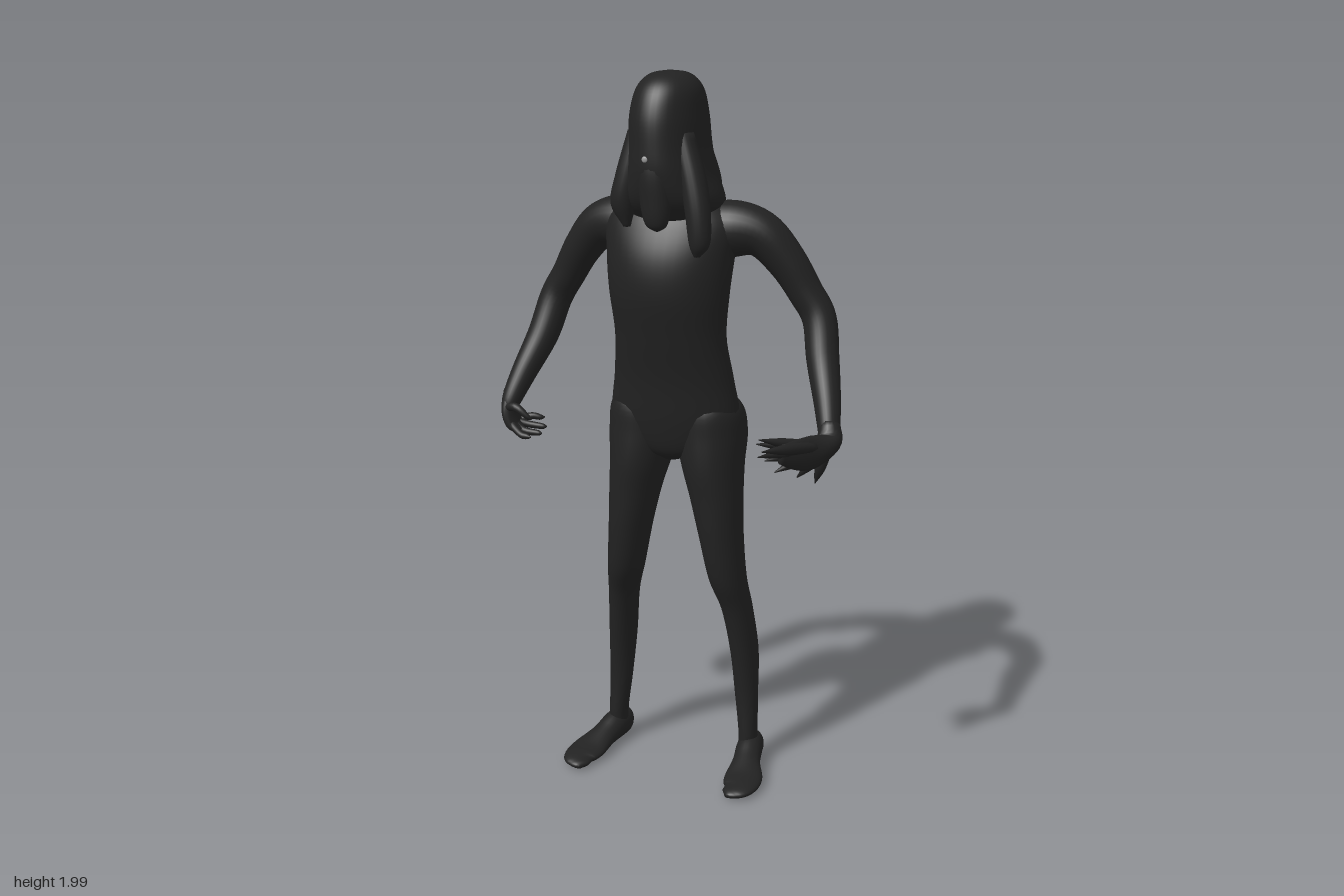
import * as THREE from 'three';

// Smooth closed loft through sections [x, y, z, radiusU, radiusV].
// With no ref the rings stay horizontal; otherwise they follow the path.
function loft(sections, ref = null, steps = 36, sides = 28) {
  const path = new THREE.CatmullRomCurve3(sections.map(s => new THREE.Vector3(s[0], s[1], s[2])), false, 'catmullrom', 0.5);
  const radii = new THREE.CatmullRomCurve3(sections.map(s => new THREE.Vector3(s[3], s[4] ?? s[3], 0)), false, 'catmullrom', 0.5);
  const pos = [], idx = [];
  const dir = Math.sign(sections[sections.length - 1][1] - sections[0][1]);
  for (let i = 0; i <= steps; i++) {
    const c = path.getPoint(i / steps), r = radii.getPoint(i / steps);
    const T = ref ? path.getTangent(i / steps) : new THREE.Vector3(0, dir, 0);
    const U = ref ? new THREE.Vector3().crossVectors(ref, T).normalize() : new THREE.Vector3(1, 0, 0);
    const V = new THREE.Vector3().crossVectors(T, U);
    for (let j = 0; j < sides; j++) {
      const a = j / sides * Math.PI * 2;
      const p = c.clone().addScaledVector(U, Math.cos(a) * Math.max(r.x, 0.001)).addScaledVector(V, Math.sin(a) * Math.max(r.y, 0.001));
      pos.push(p.x, p.y, p.z);
    }
  }
  for (let i = 0; i < steps; i++) for (let j = 0; j < sides; j++) {
    const k = (j + 1) % sides, a = i * sides + j, b = i * sides + k, c = b + sides, d = a + sides;
    idx.push(a, b, c, a, c, d);
  }
  // end caps
  const n = pos.length / 3, s0 = path.getPoint(0), s1 = path.getPoint(1), last = steps * sides;
  pos.push(s0.x, s0.y, s0.z, s1.x, s1.y, s1.z);
  for (let j = 0; j < sides; j++) {
    const k = (j + 1) % sides;
    idx.push(n, k, j, n + 1, last + j, last + k);
  }
  const g = new THREE.BufferGeometry();
  g.setAttribute('position', new THREE.Float32BufferAttribute(pos, 3));
  g.setIndex(idx);
  g.computeVertexNormals();
  return g;
}

export function createModel() {
  const model = new THREE.Group();
  const dark = new THREE.MeshStandardMaterial({ color: 0x222222 });
  dark.name = 'charcoal';
  const pale = new THREE.MeshStandardMaterial({ color: 0x999999 });
  pale.name = 'paleGrey';
  const Y = new THREE.Vector3(0, 1, 0), Z = new THREE.Vector3(0, 0, 1);
  const add = (name, geo, mat = dark) => {
    const m = new THREE.Mesh(geo, mat);
    m.name = name;
    model.add(m);
    return m;
  };

  // Torso from hips to neck
  add('torso', loft([
    [-0.01, 0.945, -0.11, 0.03, 0.05],
    [-0.01, 0.98, -0.115, 0.14, 0.085],
    [-0.01, 1.06, -0.11, 0.185, 0.10],
    [-0.008, 1.18, -0.09, 0.172, 0.097],
    [-0.008, 1.3, -0.065, 0.158, 0.10],
    [-0.01, 1.42, -0.06, 0.168, 0.12],
    [-0.01, 1.52, -0.07, 0.178, 0.125],
    [-0.01, 1.61, -0.09, 0.185, 0.11],
    [-0.01, 1.67, -0.10, 0.13, 0.08],
    [-0.01, 1.72, -0.09, 0.06, 0.06],
    [-0.01, 1.8, -0.07, 0.055, 0.06],
  ], null, 60, 40));

  for (const s of [-1, 1]) {
    const side = s > 0 ? 'left' : 'right', o = -0.01;

    // Leg with buttock, knee and calf
    add(side + 'Leg', loft([
      [o + s * 0.085, 1.15, -0.105, 0.04, 0.04],
      [o + s * 0.095, 1.1, -0.12, 0.09, 0.095],
      [o + s * 0.1, 1.02, -0.13, 0.098, 0.112],
      [o + s * 0.108, 0.93, -0.12, 0.086, 0.105],
      [o + s * 0.122, 0.84, -0.112, 0.073, 0.09],
      [o + s * 0.137, 0.73, -0.11, 0.061, 0.08],
      [o + s * 0.155, 0.6, -0.118, 0.052, 0.068],
      [o + s * 0.175, 0.5, -0.145, 0.043, 0.057],
      [o + s * 0.19, 0.36, -0.172, 0.039, 0.054],
      [o + s * 0.198, 0.22, -0.174, 0.033, 0.038],
      [o + s * 0.206, 0.1, -0.17, 0.027, 0.035],
      [o + s * 0.207, 0.03, -0.175, 0.03, 0.04],
    ], null, 60));

    // Splayed foot
    add(side + 'Foot', loft([
      [o + s * 0.205, 0.045, -0.23, 0.012, 0.015],
      [o + s * 0.207, 0.05, -0.21, 0.033, 0.04],
      [o + s * 0.214, 0.052, -0.16, 0.038, 0.044],
      [o + s * 0.226, 0.041, -0.1, 0.04, 0.033],
      [o + s * 0.242, 0.029, -0.03, 0.054, 0.022],
      [o + s * 0.248, 0.025, 0.025, 0.048, 0.017],
      [o + s * 0.235, 0.022, 0.06, 0.03, 0.012],
      [o + s * 0.228, 0.02, 0.076, 0.008, 0.006],
    ], Y));

    // Bent arm
    add(side + 'Arm', loft([
      [s * 0.07, 1.57, -0.105, 0.075],
      [s * 0.15, 1.59, -0.11, 0.076],
      [s * 0.23, 1.578, -0.118, 0.062],
      [s * 0.295, 1.51, -0.132, 0.053],
      [s * 0.345, 1.43, -0.143, 0.047],
      [s * 0.386, 1.36, -0.143, 0.046],
      [s * 0.41, 1.26, -0.105, 0.044],
      [s * 0.443, 1.16, -0.045, 0.036],
      [s * 0.462, 1.09, -0.002, 0.028],
      [s * 0.463, 1.06, 0.012, 0.02],
    ], Z, 50));
  }

  // Right hand: palm, four curled fingers and thumb
  add('rightPalm', loft([
    [-0.464, 1.11, -0.012, 0.026],
    [-0.468, 1.06, 0, 0.021, 0.036],
    [-0.455, 1.02, 0, 0.018, 0.04],
    [-0.43, 1.005, -0.003, 0.01, 0.034],
  ], Z, 16, 20));
  [[-0.385, 1.03, -0.05], [-0.366, 1.012, -0.022], [-0.366, 1, 0.01], [-0.386, 0.995, 0.04]].forEach((t, i) => {
    const z = -0.028 + i * 0.018;
    add('rightFinger', loft([
      [-0.452, 1.022, z, 0.011],
      [-0.42, t[1] + 0.003, (z + t[2]) / 2, 0.01],
      [t[0] - 0.012, t[1], t[2] * 0.9, 0.008],
      [...t, 0.002],
    ], Y, 12, 10));
  });
  add('rightThumb', loft([
    [-0.465, 1.07, 0.02, 0.012],
    [-0.43, 1.075, 0.035, 0.012],
    [-0.4, 1.055, 0.036, 0.008],
    [-0.385, 1.045, 0.034, 0.002],
  ], Y, 12, 10));

  // Left hand: palm and a fan of long ragged fingers
  add('leftPalm', loft([
    [0.462, 1.11, -0.01, 0.028],
    [0.468, 1.07, 0.02, 0.034, 0.03],
    [0.44, 1.055, 0.07, 0.022, 0.046],
    [0.41, 1.06, 0.12, 0.016, 0.04],
    [0.385, 1.07, 0.165, 0.008, 0.025],
  ], Y, 20, 20));
  const tips = [
    [0.36, 1.095, 0.24], [0.345, 1.075, 0.225], [0.335, 1.11, 0.19], [0.32, 1.09, 0.165],
    [0.335, 1.04, 0.14], [0.345, 0.995, 0.09], [0.36, 1.02, 0.06], [0.385, 0.965, 0.02],
    [0.43, 0.95, 0.005],
  ];
  tips.forEach((t, i) => {
    const f = i / (tips.length - 1);
    const root = [0.445 + 0.015 * f, 1.07 - 0.025 * f, 0.07 - 0.055 * f];
    const mid = root.map((v, k) => v * 0.45 + t[k] * 0.55);
    add('leftFinger', loft([[...root, 0.017], [...mid, 0.014], [...t, 0.0015]], Y, 12, 10));
  });

  // Long hair covering the head and face
  add('hair', loft([
    [-0.01, 2.0, -0.065, 0.004, 0.004],
    [-0.01, 1.99, -0.065, 0.052, 0.066],
    [-0.01, 1.955, -0.064, 0.084, 0.11],
    [-0.012, 1.89, -0.067, 0.098, 0.139],
    [-0.01, 1.81, -0.068, 0.104, 0.147],
    [-0.008, 1.74, -0.068, 0.118, 0.145],
    [-0.006, 1.67, -0.078, 0.14, 0.135],
    [-0.006, 1.62, -0.095, 0.12, 0.11],
    [-0.006, 1.58, -0.1, 0.06, 0.06],
  ], null, 48, 40));

  // Hanging locks: name, then sections
  const locks = [
    ['frontLock', [[-0.01, 1.86, 0.03, 0.03], [-0.01, 1.76, 0.045, 0.045, 0.034], [-0.006, 1.67, 0.045, 0.042, 0.03], [-0.004, 1.615, 0.045, 0.03, 0.022], [-0.002, 1.597, 0.045, 0.006]]],
    ['leftLock', [[0.05, 1.85, 0.0, 0.03], [0.085, 1.74, 0.015, 0.035], [0.105, 1.65, 0.03, 0.034, 0.03], [0.112, 1.57, 0.035, 0.028, 0.024], [0.105, 1.535, 0.035, 0.008]]],
    ['rightLock', [[-0.07, 1.85, 0.0, 0.03], [-0.095, 1.74, 0.01, 0.035], [-0.11, 1.66, 0.015, 0.034, 0.03], [-0.1, 1.6, 0.015, 0.01]]],
    ['backLock', [[-0.06, 1.8, -0.16, 0.03], [-0.065, 1.7, -0.172, 0.045, 0.04], [-0.06, 1.61, -0.175, 0.04, 0.035], [-0.05, 1.53, -0.165, 0.01]]],
    ['backLock', [[0.04, 1.8, -0.16, 0.03], [0.05, 1.7, -0.172, 0.045, 0.04], [0.045, 1.61, -0.175, 0.04, 0.035], [0.035, 1.53, -0.165, 0.01]]],
  ];
  for (const [name, sections] of locks) add(name, loft(sections, null, 24, 20));

  // Tiny glint of an eye between the strands
  const eye = add('eyeGlint', new THREE.SphereGeometry(0.008, 12, 8), pale);
  eye.position.set(-0.022, 1.785, 0.08);
  eye.scale.z = 0.4;

  return model;
}
